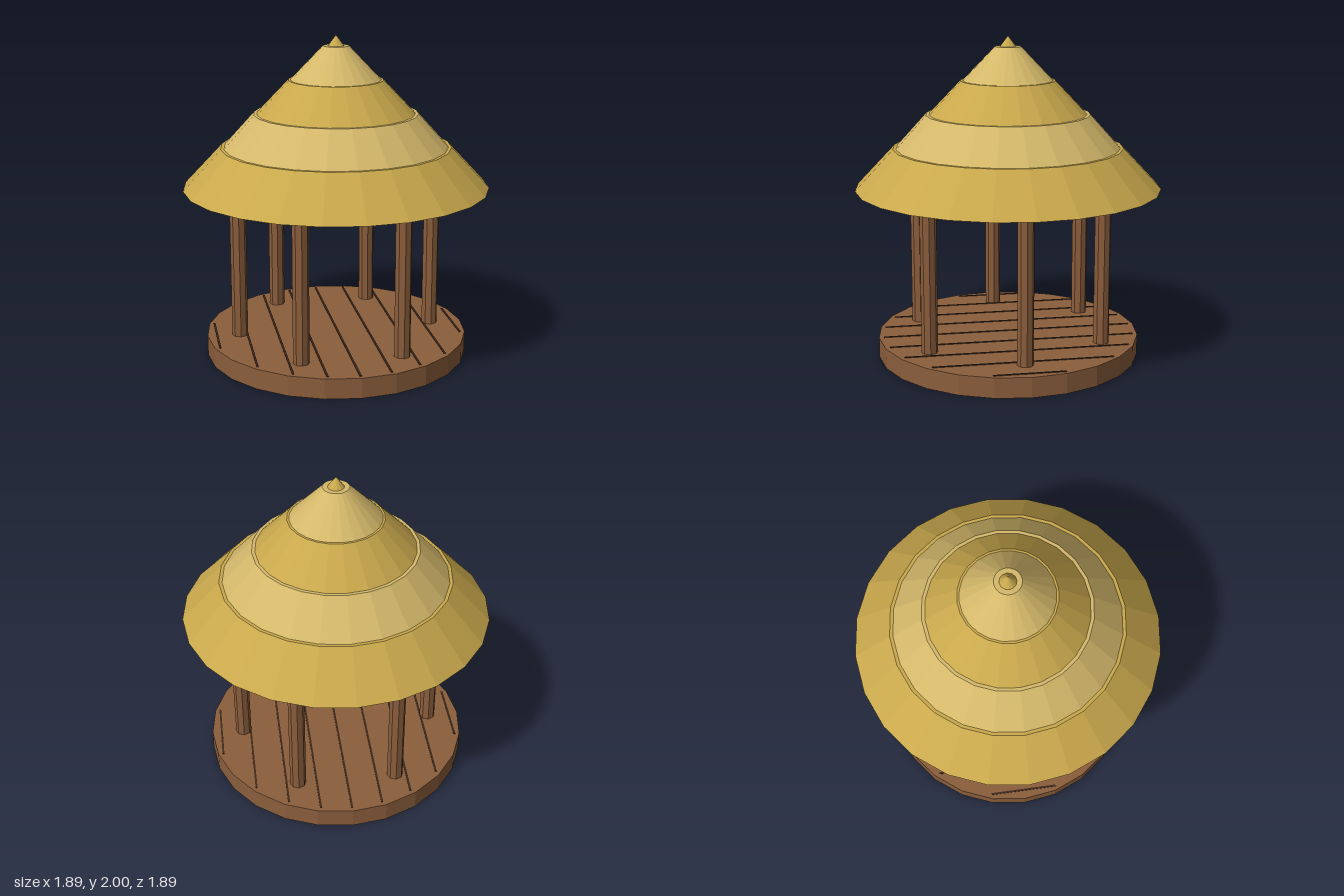
import * as THREE from 'three';

const material = (color) => new THREE.MeshStandardMaterial({ color, flatShading: true });

export function createModel() {
  const model = new THREE.Group();
  const straw = material(0xc9a84c);
  const paleStraw = material(0xd4b86a);
  const wood = material(0x8b5e3c);
  const beamWood = material(0x54392a);
  const gapWood = material(0x3f2a1c);

  const add = (name, geometry, mat, x, y, z, turn = 0) => {
    const mesh = new THREE.Mesh(geometry, mat);
    mesh.name = name;
    mesh.position.set(x, y, z);
    mesh.rotation.y = turn;
    model.add(mesh);
    return mesh;
  };
  // Upright cylinder or frustum between two heights
  const frustum = (name, bottomR, topR, y0, y1, sides, mat, x = 0, z = 0) =>
    add(name, new THREE.CylinderGeometry(topR, bottomR, y1 - y0, sides), mat, x, (y0 + y1) / 2, z);

  // Round floor with dark gaps between the planks, running front to back
  const floorTop = 0.125;
  frustum('floor', 0.82, 0.82, 0, floorTop, 24, wood);
  for (let i = -4; i <= 4; i++) {
    const x = i * 0.19;
    const length = 2 * Math.sqrt(0.79 ** 2 - x ** 2);
    add('plankGap', new THREE.BoxGeometry(0.012, 0.008, length), gapWood, x, floorTop, 0);
  }

  // Six posts on a hexagon, joined at the top by ring beams
  const ringR = 0.615;
  for (let i = 0; i < 6; i++) {
    const a = (i * Math.PI) / 3;
    frustum('post', 0.05, 0.05, floorTop, 1.09, 8, wood, ringR * Math.cos(a), ringR * Math.sin(a));

    const b = a + Math.PI / 6;
    const apothem = ringR * Math.cos(Math.PI / 6);
    add('ringBeam', new THREE.BoxGeometry(0.04, 0.045, ringR), beamWood,
      apothem * Math.cos(b), 1.0775, apothem * Math.sin(b), -b);
  }

  // Stepped thatch: [bottom radius, top radius, bottom y, top y]
  const tiers = [
    [0.945, 0.71, 1.07, 1.32],
    [0.69, 0.505, 1.32, 1.525],
    [0.485, 0.29, 1.525, 1.73],
    [0.277, 0.08, 1.73, 1.935],
  ];
  tiers.forEach(([r0, r1, y0, y1], i) =>
    frustum('roofTier', r0, r1, y0, y1, 24, i % 2 ? paleStraw : straw));

  // Pointed cap
  add('roofTip', new THREE.ConeGeometry(0.05, 0.065, 12), straw, 0, 1.9675, 0);

  return model;
}
